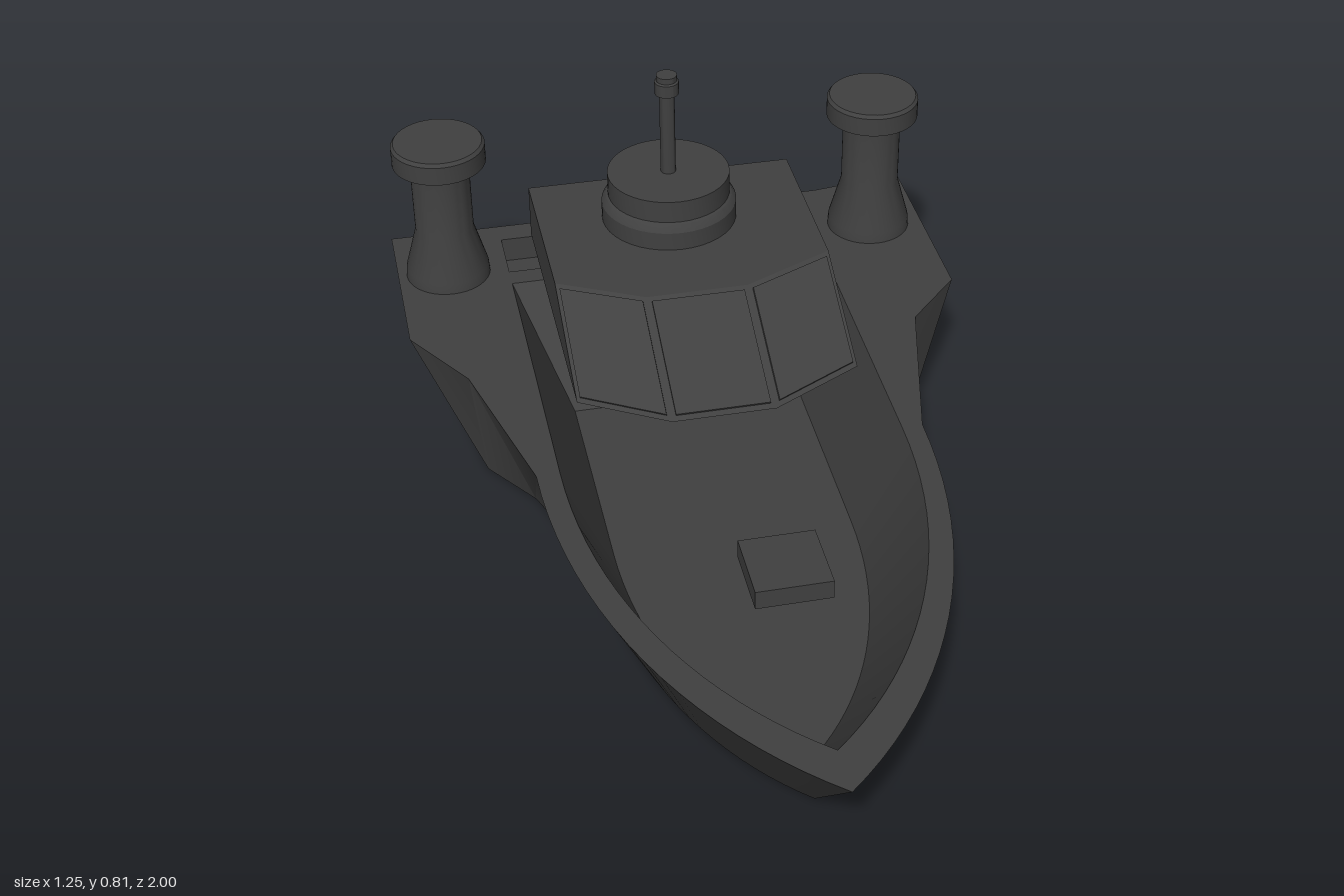
import * as THREE from 'three';
import { toCreasedNormals } from 'three/addons/utils/BufferGeometryUtils.js';

const CX = -0.01; // centre line of the boat

export function createModel() {
  const boat = new THREE.Group();
  boat.name = 'boat';
  const grey = new THREE.MeshStandardMaterial({ color: 0x404040, side: THREE.DoubleSide });
  grey.name = 'dark grey';

  const add = (name, geometry, x = 0, y = 0, z = 0, parent = boat) => {
    const mesh = new THREE.Mesh(geometry, grey);
    mesh.name = name;
    mesh.position.set(x, y, z);
    parent.add(mesh);
    return mesh;
  };

  // Walls between two rings of [x, y, z] points
  const loft = (lower, upper) => {
    const p = [];
    lower.forEach((a, i) => {
      const j = (i + 1) % lower.length;
      p.push(...a, ...lower[j], ...upper[j], ...a, ...upper[j], ...upper[i]);
    });
    const g = new THREE.BufferGeometry();
    g.setAttribute('position', new THREE.Float32BufferAttribute(p, 3));
    g.computeVertexNormals();
    return toCreasedNormals(g, 0.35);
  };

  // Flat horizontal face from a ring, with optional holes
  const face = (ring, up = true, holes = []) => {
    const s = up ? -1 : 1;
    const pts = (r) => r.map((q) => new THREE.Vector2(q[0], s * q[2]));
    const shape = new THREE.Shape(pts(ring));
    holes.forEach((h) => shape.holes.push(new THREE.Path(pts(h))));
    const g = new THREE.ShapeGeometry(shape);
    g.rotateX(s * Math.PI / 2);
    return g.translate(0, ring[0][1], 0);
  };

  // Plan outline: curved bow to the two shoulders, then straight stern points
  const outline = (y, bow, right, left, stern) => {
    const side = (x) => new THREE.CubicBezierCurve(
      new THREE.Vector2(CX, bow), new THREE.Vector2(CX + (x - CX) * 0.58, bow * 0.8),
      new THREE.Vector2(x, bow * 0.45), new THREE.Vector2(x, 0)).getPoints(20);
    return [...side(right), ...stern.map(([x, z]) => new THREE.Vector2(x, z)),
      ...side(left).reverse().slice(0, -1)].map((v) => [v.x, y, v.y]);
  };
  const box = (y, x0, x1, z0, z1) => [[x0, y, z1], [x1, y, z1], [x1, y, z0], [x0, y, z0]];

  // Hull with raked sides, side wings and a slightly uneven stern
  const gunwale = outline(0.28, 1, 0.405, -0.425, [[0.5, -0.39], [0.625, -0.52], [0.625, -1],
    [0.41, -0.97], [-0.63, -0.97], [-0.63, -0.545], [-0.52, -0.37]]);
  const keel = outline(0, 0.745, 0.29, -0.3, [[0.385, -0.27], [0.49, -0.38], [0.49, -0.745],
    [0.32, -0.73], [-0.49, -0.73], [-0.49, -0.4], [-0.4, -0.27]]);
  add('hullSides', loft(keel, gunwale));
  add('hullBottom', face(keel, false));

  // Sunken cockpit and shallow stern well
  const rim = outline(0.28, 0.895, 0.36, -0.375, [[0.36, -0.72], [-0.375, -0.72]]);
  const floor = outline(0.04, 0.69, 0.255, -0.27, [[0.255, -0.52], [-0.27, -0.52]]);
  add('cockpitWalls', loft(rim, floor));
  add('cockpitFloor', face(floor));
  const wellRim = box(0.28, -0.375, 0.36, -0.91, -0.77);
  const wellFloor = box(0.22, -0.375, 0.36, -0.91, -0.77);
  add('sternWellWalls', loft(wellRim, wellFloor));
  add('sternWellFloor', face(wellFloor));
  add('deck', face(gunwale, true, [rim, wellRim]));

  // Thin seam across the stern
  const seam = add('sternSeam', new THREE.BoxGeometry(0.735, 0.012, 0.008), CX, 0.2, -0.905);
  seam.rotation.x = 0.71;

  // Cabin with a three-sided raked windscreen
  const roof = [[-0.31, -0.44], [-0.125, -0.345], [0.1, -0.345], [0.305, -0.44],
    [0.305, -0.845], [-0.31, -0.845]].map(([x, z]) => [x, 0.455, z]);
  const base = [[-0.31, -0.17], [-0.125, -0.06], [0.1, -0.06], [0.305, -0.17],
    [0.305, -0.845], [-0.31, -0.845]].map(([x, z]) => [x, 0.328, z]);
  add('cabinWalls', loft(base, roof));
  add('cabinRoof', face(roof));
  add('cabinUnderside', face(base, false));

  // Window panes, inset from the edges of each windscreen face
  for (let i = 0; i < 3; i++) {
    const corners = [base[i], base[i + 1], roof[i + 1], roof[i]].map((c) => new THREE.Vector3(...c));
    const mid = new THREE.Vector3();
    corners.forEach((c) => mid.addScaledVector(c, 0.25));
    const normal = corners[1].clone().sub(corners[0])
      .cross(corners[3].clone().sub(corners[0])).normalize();
    const pane = (lift) => corners.map((c) =>
      c.clone().lerp(mid, 0.09).addScaledVector(normal, lift).toArray());
    const inner = pane(0), outer = pane(0.005);
    add('windowEdge', loft(inner, outer));
    const g = new THREE.BufferGeometry();
    g.setAttribute('position', new THREE.Float32BufferAttribute(outer.flat(), 3));
    g.setIndex([0, 1, 2, 0, 2, 3]);
    g.computeVertexNormals();
    add('windowPane', g);
  }

  // Turned parts from [radius, height] profiles
  const turned = (name, profile, x, z) => {
    const g = new THREE.LatheGeometry(profile.map(([r, y]) => new THREE.Vector2(r, y)), 40);
    add(name, toCreasedNormals(g, 0.5), x, 0, z);
  };
  turned('turret', [[0, 0.455], [0.153, 0.455], [0.153, 0.498], [0.143, 0.515], [0.138, 0.518],
    [0.138, 0.57], [0, 0.57]], -0.012, -0.667);
  turned('mast', [[0.017, 0.57], [0.017, 0.765], [0.027, 0.768], [0.027, 0.797], [0.023, 0.8],
    [0.023, 0.813], [0, 0.813]], -0.012, -0.667);

  // Flared posts on the stern wings
  for (const x of [-0.513, 0.498]) {
    turned('sternPost', [[0, 0.28], [0.097, 0.28], [0.095, 0.305], [0.067, 0.405], [0.067, 0.578],
      [0.106, 0.578], [0.106, 0.622], [0.1, 0.63], [0, 0.63]], x, -0.803);
  }

  // Hatch block above the foredeck
  add('foredeckHatch', new THREE.BoxGeometry(0.155, 0.042, 0.155), -0.006, 0.346, 0.467);

  return boat;
}
